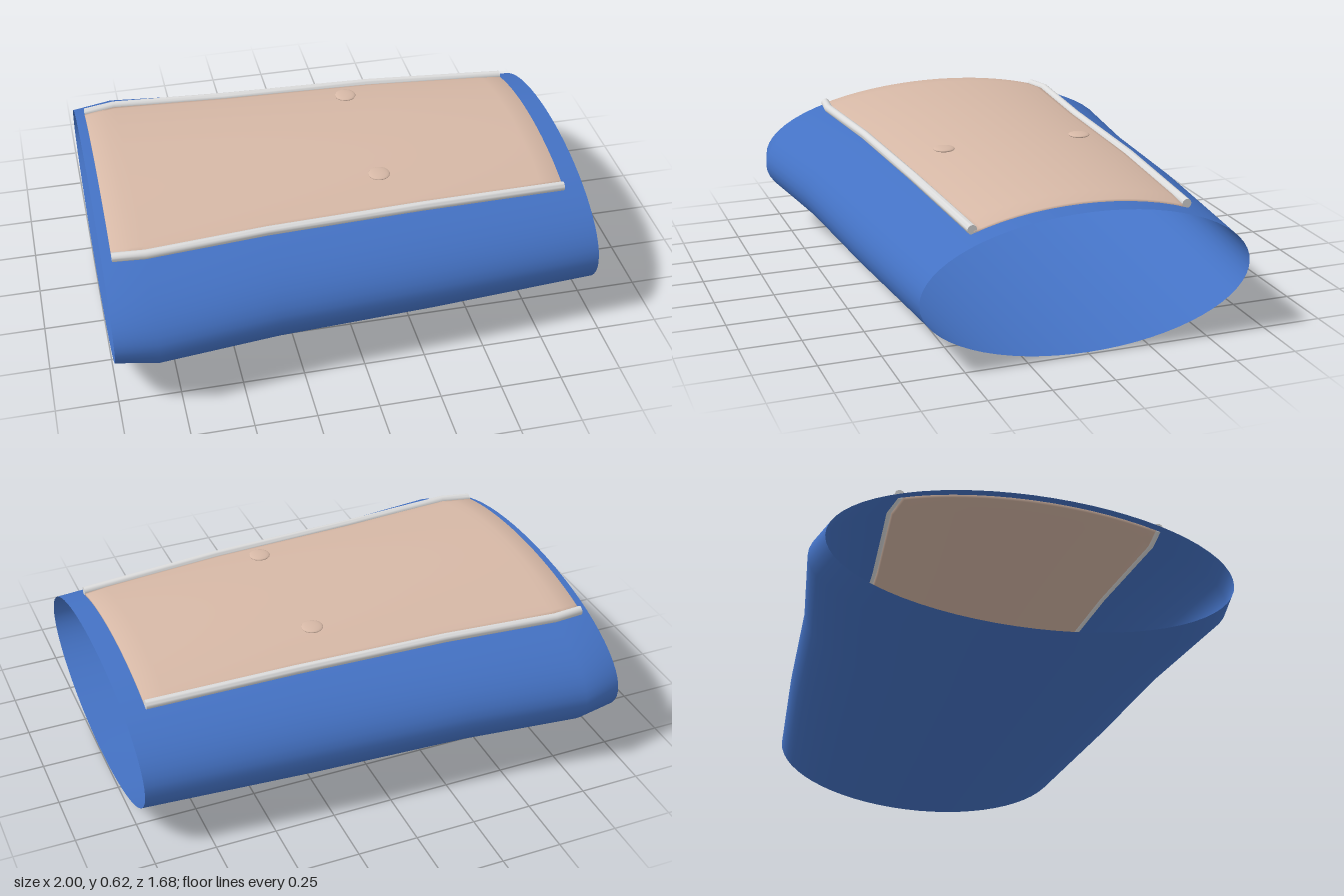
import * as THREE from 'three';
import { toCreasedNormals } from 'three/addons/utils/BufferGeometryUtils.js';

// stations along the sleeve: x, half width, bottom y, top y
const STATIONS = [
  [-1, 0.80, 0.016, 0.588],
  [-0.83, 0.838, 0.011, 0.598],
  [-0.34, 0.774, 0.004, 0.601],
  [0.3, 0.734, 0.0, 0.6],
  [1, 0.674, 0.008, 0.573],
];

// point on the oval section at x, angle t from the top, lifted outward by d
function skin(x, t, d = 0) {
  let i = 0;
  while (i < STATIONS.length - 2 && x > STATIONS[i + 1][0]) i++;
  const a = STATIONS[i], b = STATIONS[i + 1];
  const k = (x - a[0]) / (b[0] - a[0]);
  const [w, lo, hi] = [1, 2, 3].map((n) => a[n] + (b[n] - a[n]) * k);
  const h = (hi - lo) / 2;
  return [x, (hi + lo) / 2 + (h + d) * Math.cos(t), (w + d) * Math.sin(t)];
}

// joins closed rings of points running towards +x
function loft(rings, capped) {
  const n = rings[0].length, index = [];
  const last = (rings.length - 1) * n;
  for (let i = 0; i < rings.length - 1; i++) {
    for (let j = 0; j < n; j++) {
      const a = i * n + j, b = i * n + (j + 1) % n;
      index.push(a, b, a + n, b, b + n, a + n);
    }
  }
  if (capped) {
    for (let j = 0; j < n / 2 - 1; j++) {
      const p = j, q = j + 1, r = n - 1 - j, s = n - 2 - j;
      index.push(last + p, last + q, last + r, last + q, last + s, last + r);
      index.push(p, r, q, q, r, s);
    }
  }
  const g = new THREE.BufferGeometry();
  g.setAttribute('position', new THREE.Float32BufferAttribute(rings.flat(2), 3));
  g.setIndex(index);
  g.computeVertexNormals();
  return g;
}

export function createModel() {
  const group = new THREE.Group();
  const blue = new THREE.MeshStandardMaterial({ name: 'blue sleeve', color: 0x4472c4, side: THREE.DoubleSide });
  const tan = new THREE.MeshStandardMaterial({ name: 'tan panel', color: 0xd6b8a6 });
  const grey = new THREE.MeshStandardMaterial({ name: 'light grey trim', color: 0xdcdcdc });
  const add = (name, geometry, material) => {
    const mesh = new THREE.Mesh(geometry, material);
    mesh.name = name;
    group.add(mesh);
    return mesh;
  };

  // open oval sleeve
  const around = 64;
  add('sleeve', loft(STATIONS.map(([x]) =>
    Array.from({ length: around }, (_, j) => skin(x, (j / around) * Math.PI * 2))), false), blue);

  // curved panel lying on top, thin closed shell
  const edge = Math.asin(0.627), steps = 24;
  const panelRings = [-0.96, -0.88, -0.83, -0.34, 0.3, 0.82, 0.91].map((x) => {
    const lift = x > 0.9 ? 0.009 : 0.014;
    const angles = Array.from({ length: steps + 1 }, (_, j) => (j / steps * 2 - 1) * edge);
    return [
      ...angles.map((t) => skin(x, t, lift)),
      ...angles.reverse().map((t) => skin(x, t, -0.013)),
    ];
  });
  add('panel', loft(panelRings, true), tan);

  for (const side of [1, -1]) {
    const label = side > 0 ? 'front' : 'back';

    // round trim rail along the panel edge
    const railRings = [-0.96, -0.83, -0.34, 0.3, 0.91].map((x) => {
      const [, y, z] = skin(x, side * edge, 0.016);
      return Array.from({ length: 16 }, (_, j) => {
        const t = (j / 16) * Math.PI * 2;
        return [x, y + 0.019 * Math.cos(t), z + 0.019 * Math.sin(t)];
      });
    });
    add(label + 'Rail', toCreasedNormals(loft(railRings, true), 0.8), grey);

    // flattened button
    const button = add(label + 'Button', new THREE.SphereGeometry(0.045, 24, 12), tan);
    button.scale.y = 0.2;
    button.position.set(0.16, 0.61, side * 0.3);
  }
  return group;
}
